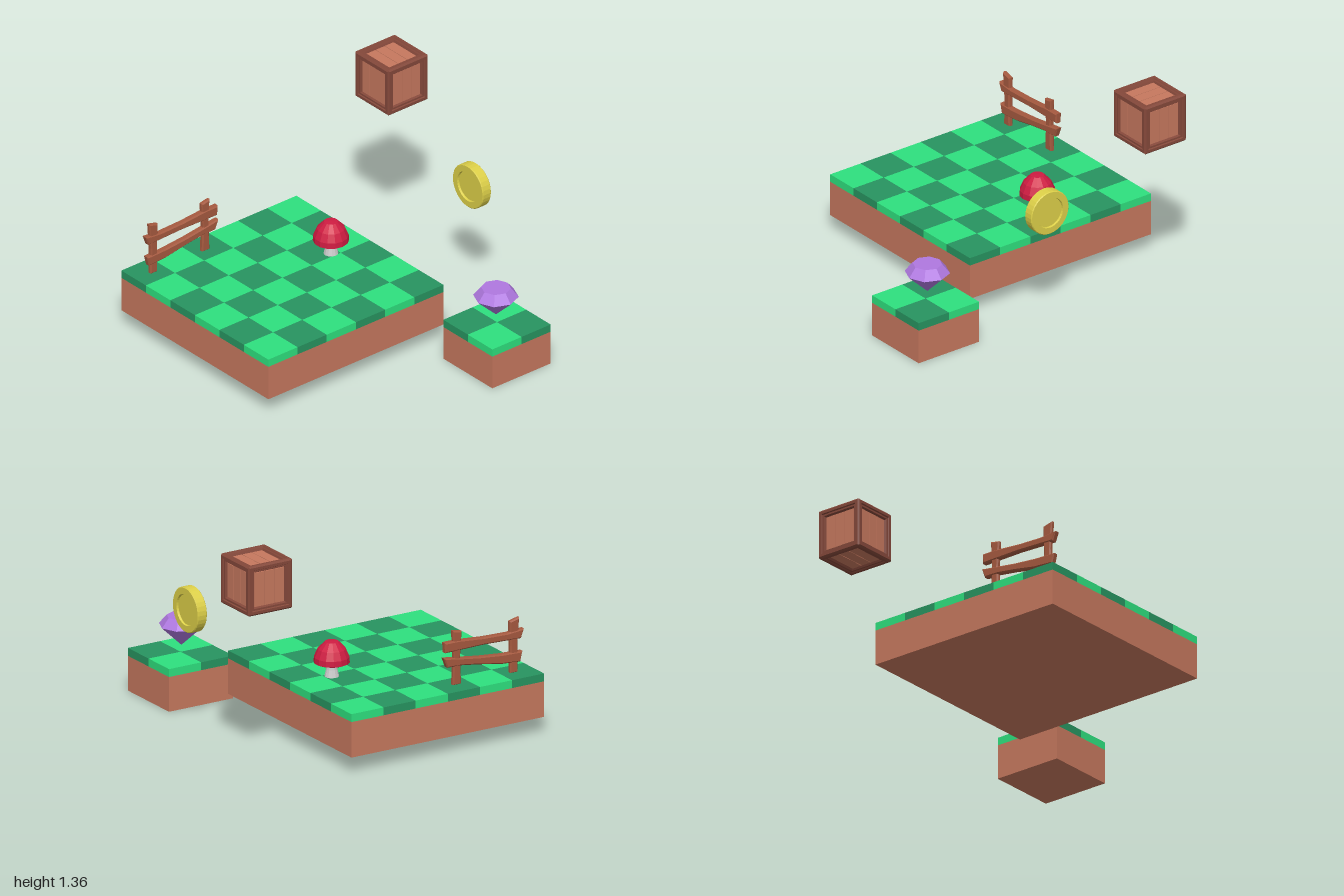
import * as THREE from 'three';

const mat = (color) => new THREE.MeshStandardMaterial({ color, flatShading: true });
const DIRT = mat(0xc6785e), GRASS = mat(0x2ee07e), DARK_GRASS = mat(0x279460);
const WOOD = mat(0xa5593f), FRAME = mat(0x84483a), PLANK = mat(0xc6785e);
const GOLD = mat(0xdccf48), RED = mat(0xcf1c42), STEM = mat(0xcccccc), GEM = mat(0xaf78e0);

function add(parent, name, geometry, material, x = 0, y = 0, z = 0) {
  const mesh = new THREE.Mesh(geometry, material);
  mesh.name = name;
  mesh.position.set(x, y, z);
  parent.add(mesh);
  return mesh;
}

function group(parent, name, x = 0, y = 0, z = 0) {
  const g = new THREE.Group();
  g.name = name;
  g.position.set(x, y, z);
  parent.add(g);
  return g;
}

const lathe = (points, sides, start = 0) =>
  new THREE.LatheGeometry(points.map(([r, y]) => new THREE.Vector2(r, y)), sides, start);

// Dirt block with a checkered layer of grass tiles; x, y, z is the centre of its underside
function platform(parent, name, x, y, z, tiles, tile, dirtHeight) {
  const g = group(parent, name, x, y, z);
  const size = tiles * tile, grassHeight = 0.05;
  add(g, 'dirt', new THREE.BoxGeometry(size, dirtHeight, size), DIRT, 0, dirtHeight / 2, 0);
  const box = new THREE.BoxGeometry(tile, grassHeight, tile);
  for (let i = 0; i < tiles; i++) {
    for (let j = 0; j < tiles; j++) {
      add(g, 'grassTile', box, (i + j) % 2 ? GRASS : DARK_GRASS,
        (i + 0.5) * tile - size / 2, dirtHeight + grassHeight / 2, (j + 0.5) * tile - size / 2);
    }
  }
}

// Hand-cut board: an outline in x and y with chamfered edges, centred on z = 0
function board(parent, name, outline, thickness) {
  const bevel = 0.008;
  const shape = new THREE.Shape(outline.map(([x, y]) => new THREE.Vector2(x, y)));
  const geometry = new THREE.ExtrudeGeometry(shape, {
    depth: thickness - 2 * bevel, bevelEnabled: true, bevelSegments: 1,
    bevelSize: bevel, bevelThickness: bevel, bevelOffset: -bevel,
  });
  geometry.translate(0, 0, bevel - thickness / 2);
  add(parent, name, geometry, WOOD);
}

function fence(parent) {
  const g = group(parent, 'fence', 0, 0, -0.87);
  board(g, 'leftPost', [[-0.876, 0.375], [-0.82, 0.375], [-0.822, 0.55], [-0.817, 0.705], [-0.886, 0.722], [-0.873, 0.55]], 0.032);
  board(g, 'rightPost', [[-0.474, 0.375], [-0.413, 0.375], [-0.42, 0.55], [-0.413, 0.722], [-0.478, 0.71], [-0.467, 0.55]], 0.032);
  board(g, 'upperRail', [[-0.895, 0.587], [-0.63, 0.596], [-0.357, 0.592], [-0.353, 0.657], [-0.45, 0.657], [-0.63, 0.642], [-0.8, 0.637], [-0.917, 0.646]], 0.042);
  board(g, 'lowerRail', [[-0.89, 0.44], [-0.75, 0.45], [-0.6, 0.477], [-0.47, 0.495], [-0.372, 0.497], [-0.348, 0.56], [-0.47, 0.543], [-0.6, 0.525], [-0.76, 0.51], [-0.906, 0.505]], 0.042);
}

// Six identical faces: a stepped, chamfered square frame around three planks
function crate(parent) {
  const g = group(parent, 'crate', 0.827, 1.207, -0.645);
  const profile = [[0.1525, 0.1525], [0.1475, 0.1575], [0.131, 0.1575], [0.127, 0.15],
    [0.116, 0.15], [0.108, 0.132], [0, 0.132]];
  const frame = lathe(profile.map(([r, y]) => [r * Math.SQRT2, y]), 4, Math.PI / 4);
  const plank = new THREE.BoxGeometry(0.068, 0.012, 0.215);
  const turns = [[0, 0], [Math.PI, 0]];
  for (let k = 0; k < 4; k++) turns.push([Math.PI / 2, k * Math.PI / 2]);
  for (const [rx, ry] of turns) {
    const face = group(g, 'crateSide');
    face.rotation.set(rx, ry, 0, 'YXZ');
    add(face, 'crateFrame', frame, FRAME);
    for (const i of [-1, 0, 1]) add(face, 'cratePlank', plank, PLANK, i * 0.0715, 0.134, 0);
  }
}

export function createModel() {
  const model = new THREE.Group();
  model.name = 'platformScene';

  platform(model, 'largePlatform', -0.303, 0.105, -0.315, 6, 0.2277, 0.225);
  platform(model, 'smallPlatform', 0.463, 0, 0.767, 2, 0.2277, 0.22);
  fence(model);
  crate(model);

  // Coin with raised rims, standing on edge and facing x
  const coin = add(model, 'coin', lathe([[0, -0.02], [0.095, -0.02], [0.098, -0.033], [0.137, -0.033], [0.142, -0.028],
    [0.142, 0.028], [0.137, 0.033], [0.098, 0.033], [0.095, 0.02], [0, 0.02]], 32), GOLD, 0.811, 0.797, 0.12);
  coin.rotation.z = Math.PI / 2;

  // Mushroom
  const mushroom = group(model, 'mushroom', 0.107, 0.38, -0.352);
  add(mushroom, 'mushroomStem', lathe([[0, 0], [0.045, 0], [0.034, 0.045], [0.028, 0.1]], 12), STEM);
  add(mushroom, 'mushroomCap', lathe([[0, 0.09], [0.095, 0.084], [0.109, 0.09], [0.107, 0.125],
    [0.085, 0.175], [0.042, 0.22], [0, 0.223]], 14), RED);

  // Eight-sided gem hovering over the small platform
  add(model, 'gem', lathe([[0, 0.318], [0.137, 0.447], [0.09, 0.504], [0, 0.504]], 8), GEM, 0.465, 0, 0.755);

  return model;
}
